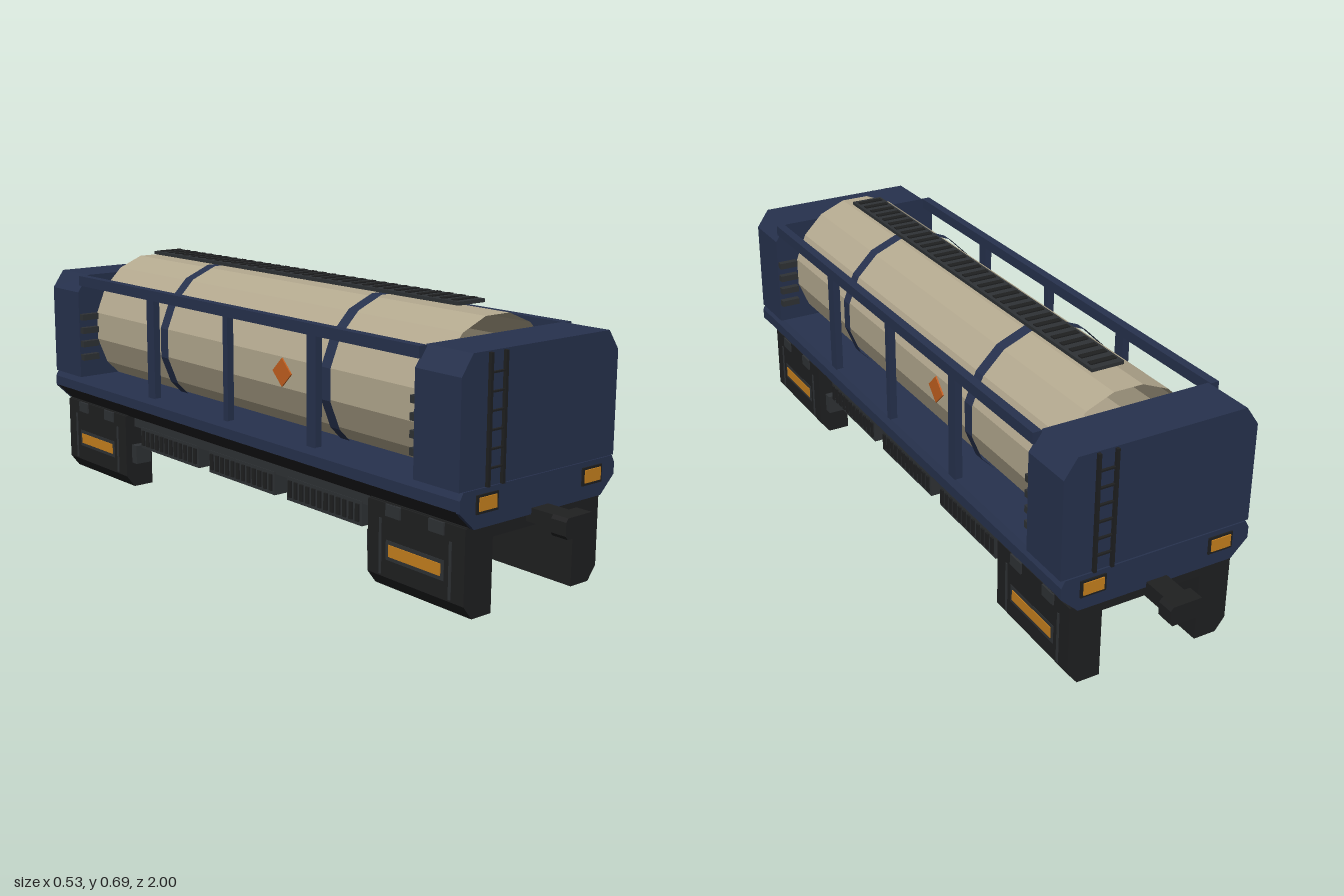
import * as THREE from 'three';

const mat = (color, side = THREE.FrontSide) =>
  new THREE.MeshStandardMaterial({ color, side, flatShading: true });
const navy = mat(0x27324e), black = mat(0x1f2021), dark = mat(0x2f3235);
const amber = mat(0xc9821e), orange = mat(0xc4601f);
const tan = mat(0xb5aa90, THREE.DoubleSide), hoopNavy = mat(0x27324e, THREE.DoubleSide);

function add(parent, name, geometry, material) {
  const mesh = new THREE.Mesh(geometry, material);
  mesh.name = name;
  parent.add(mesh);
  return mesh;
}

// Box given by its minimum and maximum on each axis
function box(parent, name, material, x0, x1, y0, y1, z0, z1) {
  const g = new THREE.BoxGeometry(x1 - x0, y1 - y0, z1 - z0);
  g.translate((x0 + x1) / 2, (y0 + y1) / 2, (z0 + z1) / 2);
  return add(parent, name, g, material);
}

// Outline in x and y pushed along z
function prism(parent, name, material, points, z0, z1) {
  const shape = new THREE.Shape(points.map(([x, y]) => new THREE.Vector2(x, y)));
  const g = new THREE.ExtrudeGeometry(shape, { depth: z1 - z0, bevelEnabled: false });
  g.translate(0, 0, z0);
  return add(parent, name, g, material);
}

// Completes a +x half outline, listed from bottom to top
const mirrored = (half) => [...half, ...half.map(([x, y]) => [-x, y]).reverse()];

// Open sixteen-sided tube along z with flat top and sides
function tube(radius, length, z) {
  const g = new THREE.CylinderGeometry(radius, radius, length, 16, 1, true, Math.PI / 16);
  g.rotateX(Math.PI / 2);
  g.translate(0, 0.465, z);
  return g;
}

function buildBogie() {
  const bogie = new THREE.Group();
  bogie.name = 'bogie';
  box(bogie, 'bogieCrossBeam', black, -0.225, 0.225, 0.185, 0.222, 0.54, 0.865);
  for (const s of [1, -1]) {
    const span = (name, m, x0, x1, ...rest) =>
      box(bogie, name, m, Math.min(s * x0, s * x1), Math.max(s * x0, s * x1), ...rest);
    const outline = [[0.14, 0], [0.203, 0], [0.23, 0.035], [0.23, 0.22], [0.14, 0.22]]
      .map(([x, y]) => [s * x, y]);
    prism(bogie, 'bogieSkirt', black, outline, 0.54, 0.865);
    // Side lamp with its frame, trim strips and hangers
    span('lampFrame', dark, 0.228, 0.231, 0.08, 0.13, 0.605, 0.8);
    span('sideLamp', amber, 0.228, 0.233, 0.09, 0.12, 0.615, 0.79);
    for (const z of [0.585, 0.82]) span('trimStrip', dark, 0.228, 0.232, 0.04, 0.18, z - 0.004, z + 0.004);
    for (const z of [0.63, 0.775]) span('hanger', dark, 0.228, 0.234, 0.19, 0.22, z - 0.025, z + 0.025);
    span('bogieNub', dark, 0.16, 0.21, 0.075, 0.13, 0.515, 0.54);
  }
  return bogie;
}

function buildEnd() {
  const end = new THREE.Group();
  end.name = 'carEnd';
  prism(end, 'endCabinet', navy,
    mirrored([[0.265, 0.313], [0.265, 0.573], [0.23, 0.623]]), 0.73, 0.876);
  prism(end, 'endPlate', navy,
    mirrored([[0.218, 0.22], [0.265, 0.265], [0.265, 0.295], [0.255, 0.313]]), 0.868, 0.88);

  // Vent slats on the inner edges of the cabinet
  for (const s of [1, -1])
    for (let i = 0; i < 4; i++) {
      const y = 0.375 + i * 0.041;
      box(end, 'ventSlat', dark, s * 0.235 - 0.027, s * 0.235 + 0.027, y - 0.009, y + 0.009, 0.712, 0.732);
    }

  // Ladder
  for (const x of [-0.178, -0.13])
    box(end, 'ladderRail', black, x - 0.004, x + 0.004, 0.313, 0.62, 0.874, 0.885);
  for (let i = 0; i < 6; i++) {
    const y = 0.355 + i * 0.0438;
    box(end, 'ladderRung', black, -0.178, -0.13, y - 0.002, y + 0.002, 0.876, 0.883);
  }

  // Marker lamps
  for (const x of [-0.18, 0.18]) {
    box(end, 'markerFrame', black, x - 0.035, x + 0.035, 0.255, 0.3, 0.874, 0.884);
    box(end, 'markerLamp', amber, x - 0.028, x + 0.028, 0.262, 0.294, 0.878, 0.887);
  }

  // Coupler
  box(end, 'couplerArm', black, -0.029, 0.029, 0.2, 0.235, 0.86, 0.965);
  const head = [[0.04, 0.19], [0.047, 0.199], [0.047, 0.232], [0.04, 0.241]];
  prism(end, 'couplerHead', black, mirrored(head), 0.955, 1);

  end.add(buildBogie());
  return end;
}

function buildSide() {
  const side = new THREE.Group();
  side.name = 'carSide';
  // Guard rail and posts
  box(side, 'guardRail', navy, 0.234, 0.258, 0.593, 0.622, -0.735, 0.735);
  for (const [z, w] of [[-0.355, 0.035], [0, 0.02], [0.355, 0.035]])
    box(side, 'guardPost', navy, 0.236, 0.256, 0.31, 0.6, z - w / 2, z + w / 2);

  // Diamond marker on the tank
  const diamond = prism(side, 'diamondMarker', orange,
    [[0, -0.038], [0.038, 0], [0, 0.038], [-0.038, 0]], 0, 0.005);
  diamond.rotation.y = Math.PI / 2;
  diamond.position.set(0.2, 0.465, -0.175);

  // Ribbed equipment boxes hung below the floor
  box(side, 'boxHanger', dark, 0.15, 0.205, 0.188, 0.222, -0.53, 0.53);
  for (const z of [-0.345, 0, 0.345]) {
    box(side, 'equipmentBox', dark, 0.145, 0.207, 0.13, 0.193, z - 0.147, z + 0.147);
    for (let i = 0; i < 12; i++) {
      const rib = z - 0.132 + i * 0.024;
      box(side, 'boxRib', black, 0.2, 0.212, 0.14, 0.185, rib - 0.006, rib + 0.006);
    }
  }
  return side;
}

export function createModel() {
  const car = new THREE.Group();
  car.name = 'tankCar';

  // Floor
  prism(car, 'deck', navy,
    mirrored([[0.265, 0.267], [0.265, 0.295], [0.255, 0.313]]), -0.87, 0.87);
  prism(car, 'underframe', black, mirrored([[0.218, 0.22], [0.265, 0.267]]), -0.87, 0.87);

  // Tank and its hoops
  add(car, 'tank', tube(0.205, 1.46, 0), tan);
  for (const z of [-0.355, 0.355]) add(car, 'tankHoop', tube(0.213, 0.036, z), hoopNavy);

  // Catwalk with cross treads
  box(car, 'catwalk', dark, -0.045, 0.045, 0.68, 0.689, -0.645, 0.645);
  for (let i = 0; i < 32; i++) {
    const z = -0.62 + i * 0.04;
    box(car, 'catwalkTread', black, -0.036, 0.036, 0.686, 0.692, z - 0.008, z + 0.008);
  }

  // Ends and sides repeat after half a turn
  for (const part of [buildEnd(), buildSide()]) {
    const opposite = part.clone();
    opposite.rotation.y = Math.PI;
    car.add(part, opposite);
  }
  return car;
}
